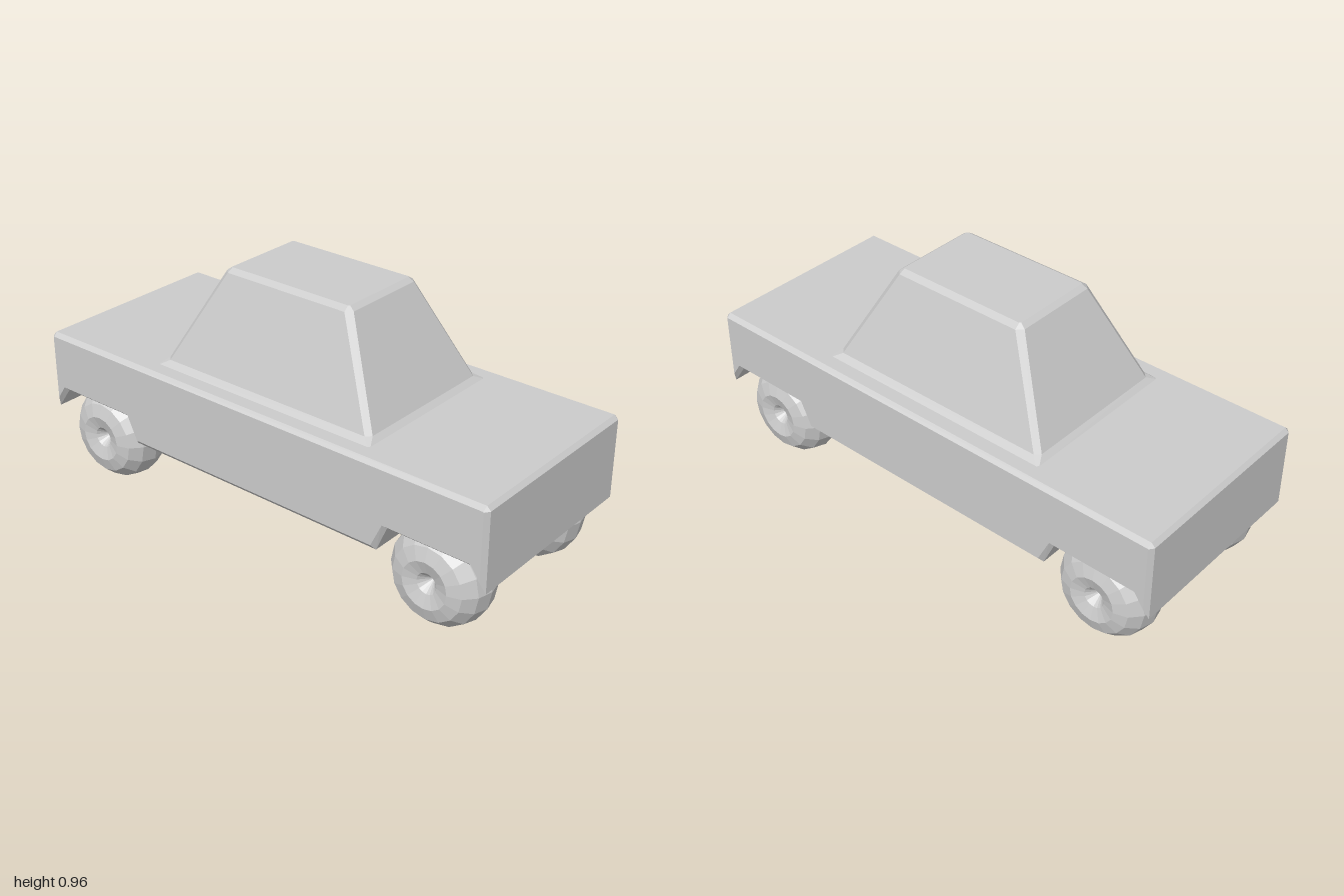
import * as THREE from 'three';

const material = new THREE.MeshStandardMaterial({ color: 0xcccccc, flatShading: true });

function part(name, geometry) {
  const mesh = new THREE.Mesh(geometry, material);
  mesh.name = name;
  return mesh;
}

// Skins a stack of counter-clockwise outlines along z and caps both ends.
function loft(layers) {
  const n = layers[0].outline.length;
  const positions = [];
  const index = [];
  for (const { outline, z } of layers) {
    for (const [x, y] of outline) positions.push(x, y, z);
  }
  for (let k = 0; k < layers.length - 1; k++) {
    for (let i = 0; i < n; i++) {
      const a = k * n + i;
      const b = k * n + (i + 1) % n;
      index.push(a, b, b + n, a, b + n, a + n);
    }
  }
  const cap = (layer) => THREE.ShapeUtils.triangulateShape(
    layer.outline.map(([x, y]) => new THREE.Vector2(x, y)), []);
  const last = (layers.length - 1) * n;
  for (const [a, b, c] of cap(layers[0])) index.push(a, c, b);
  for (const [a, b, c] of cap(layers[layers.length - 1])) index.push(last + a, last + b, last + c);
  const geometry = new THREE.BufferGeometry();
  geometry.setAttribute('position', new THREE.Float32BufferAttribute(positions, 3));
  geometry.setIndex(index);
  const flat = geometry.toNonIndexed();
  flat.computeVertexNormals();
  return flat;
}

// Completes a right-hand outline with its mirror image.
const mirrored = (half) => [...half, ...half.map(([x, y]) => [-x, y]).reverse()];

// Rectangle with cut corners, given by half sizes.
const cutRectangle = (w, d, c) => mirrored([
  [w - c, -d], [w, -d + c], [w, d - c], [w - c, d],
]);

// Lower body with wheel arches and a narrow bevel
function createBody() {
  const full = mirrored([
    [0.565, 0.245], [0.608, 0.345], [0.94, 0.345], [1, 0.26], [1, 0.565], [0.985, 0.58],
  ]);
  const face = mirrored([
    [0.553, 0.265], [0.598, 0.36], [0.947, 0.36], [0.985, 0.305], [0.985, 0.563], [0.983, 0.565],
  ]);
  return part('body', loft([
    { outline: face, z: -0.402 },
    { outline: full, z: -0.385 },
    { outline: full, z: 0.385 },
    { outline: face, z: 0.402 },
  ]));
}

// Tapered cabin with a flared foot and bevelled roof
function createCabin() {
  const geometry = loft([
    { outline: cutRectangle(0.49, 0.335, 0.006), z: 0.578 },
    { outline: cutRectangle(0.468, 0.308, 0.019), z: 0.598 },
    { outline: cutRectangle(0.285, 0.188, 0.022), z: 0.95 },
    { outline: cutRectangle(0.265, 0.165, 0.005), z: 0.965 },
  ]);
  geometry.rotateX(-Math.PI / 2);
  return part('cabin', geometry);
}

// Fat rounded tyre, dimpled at both hubs
function createWheelGeometry() {
  const profile = [];
  for (let i = -5; i <= 5; i++) {
    const a = i * Math.PI / 6;
    profile.push(new THREE.Vector2(Math.max(0, 0.09 + 0.1 * Math.cos(a)), 0.115 * Math.sin(a)));
  }
  profile.unshift(new THREE.Vector2(0, -0.05));
  profile.push(new THREE.Vector2(0, 0.05));
  return new THREE.LatheGeometry(profile, 16).rotateX(Math.PI / 2);
}

export function createModel() {
  const model = new THREE.Group();
  model.name = 'car';
  model.add(createBody(), createCabin());

  const wheel = createWheelGeometry();
  for (const [side, x] of [['left', 0.768], ['right', -0.768]]) {
    for (const [end, z] of [['Front', 0.279], ['Back', -0.269]]) {
      const mesh = part(`${side}${end}Wheel`, wheel);
      mesh.position.set(x, 0.194, z);
      model.add(mesh);
    }
  }
  return model;
}
